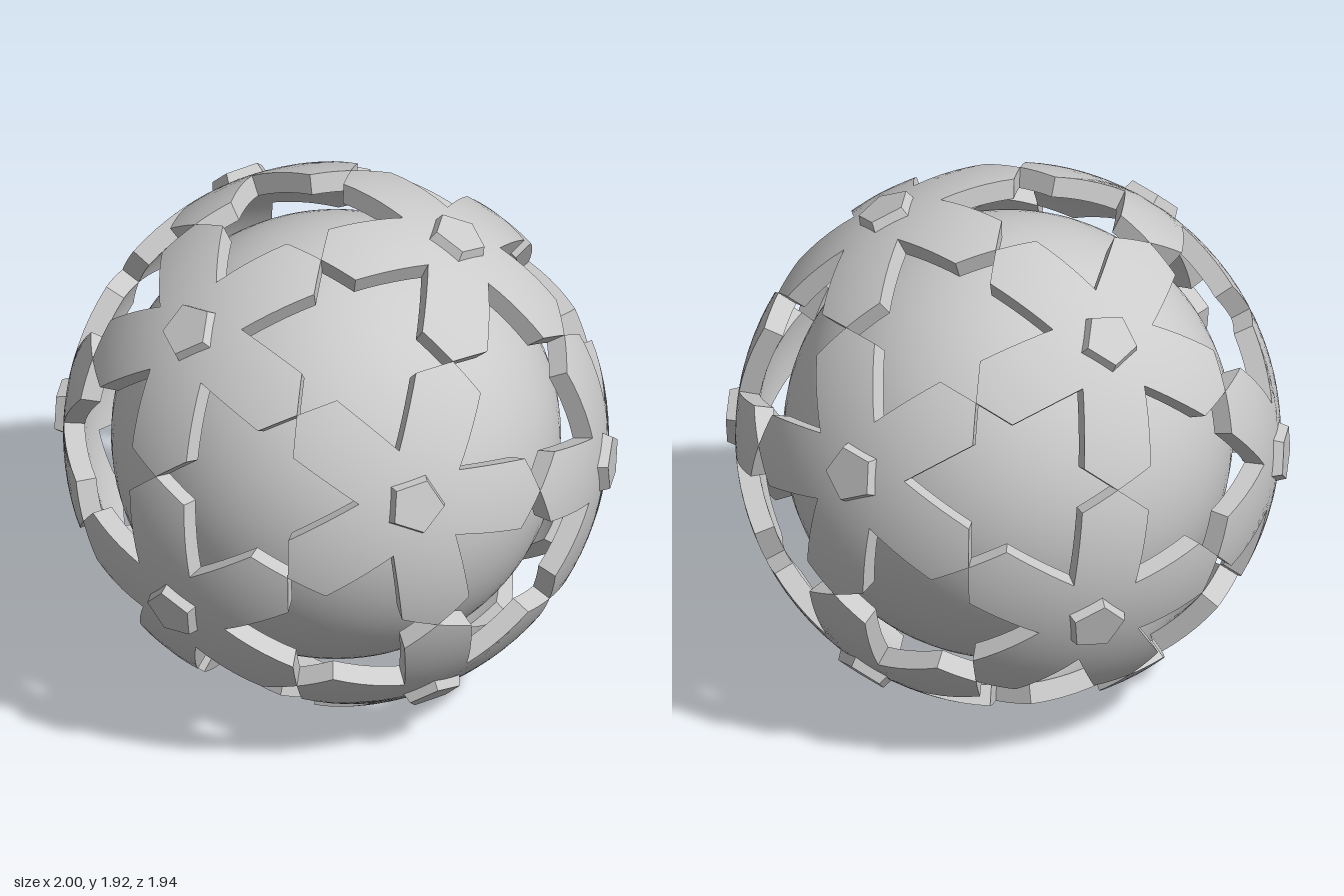
import * as THREE from 'three';

const OUTER = 0.97, INNER = 0.895, CORE = 0.8, CENTRE_Y = 0.96;
const TIP = 0.55357;   // angle from a flower centre to its petal tips
const NOTCH = 0.211;   // angle from a flower centre to the notches
const CORNER = 0.256;  // share of the edge between tips kept at each petal

// unit direction, polar angle from +z, turn measured from +y
const dir = (polar, turn) => new THREE.Vector3(
  Math.sin(polar) * Math.sin(turn), Math.sin(polar) * Math.cos(turn), Math.cos(polar));

// star-like outline of a flower on the unit sphere
function flowerOutline() {
  const corners = [];
  const step = Math.PI * 2 / 5;
  for (let k = 0; k < 5; k++) {
    const tip = dir(TIP, k * step), next = dir(TIP, (k + 1) * step);
    corners.push(tip,
      tip.clone().lerp(next, CORNER).normalize(),
      dir(NOTCH, (k + 0.5) * step),
      next.clone().lerp(tip, CORNER).normalize());
  }
  const outline = [];
  corners.forEach((a, i) => {
    const b = corners[(i + 1) % corners.length];
    for (let s = 0; s < 5; s++) outline.push(a.clone().lerp(b, s / 5).normalize());
  });
  return outline;
}

// curved plate: outer skin, inner skin and side walls
function flowerGeometry() {
  const outline = flowerOutline(), n = outline.length, rings = 8;
  const pos = [], nor = [], idx = [];
  const add = (p, radius, normal) => {
    pos.push(p.x * radius, p.y * radius, p.z * radius);
    nor.push(normal.x, normal.y, normal.z);
  };
  const axis = new THREE.Vector3(0, 0, 1);
  for (const [radius, sign] of [[OUTER, 1], [INNER, -1]]) {
    const base = pos.length / 3;
    for (let r = 0; r <= rings; r++) {
      for (const o of outline) {
        const p = axis.clone().lerp(o, r / rings).normalize();
        add(p, radius, p.clone().multiplyScalar(sign));
      }
    }
    for (let r = 0; r < rings; r++) {
      for (let i = 0; i < n; i++) {
        const j = (i + 1) % n;
        const a = base + r * n + i, b = base + r * n + j, c = a + n, d = b + n;
        // the outline runs clockwise seen from outside
        if (sign > 0) idx.push(a, d, c, a, b, d);
        else idx.push(a, c, d, a, d, b);
      }
    }
  }
  outline.forEach((p, i) => {
    const q = outline[(i + 1) % n], base = pos.length / 3;
    const normal = q.clone().cross(p).normalize().negate();
    // point the wall away from the flower centre
    if (normal.dot(axis) > 0) normal.negate();
    add(p, OUTER, normal); add(q, OUTER, normal);
    add(p, INNER, normal); add(q, INNER, normal);
    idx.push(base, base + 1, base + 2, base + 1, base + 3, base + 2);
  });
  const geo = new THREE.BufferGeometry();
  geo.setAttribute('position', new THREE.Float32BufferAttribute(pos, 3));
  geo.setAttribute('normal', new THREE.Float32BufferAttribute(nor, 3));
  geo.setIndex(idx);
  return geo;
}

export function createModel() {
  const group = new THREE.Group();
  const smooth = new THREE.MeshStandardMaterial({ color: 0xcccccc });
  const faceted = new THREE.MeshStandardMaterial({ color: 0xcccccc, flatShading: true });

  // inner ball
  const ball = new THREE.Mesh(new THREE.SphereGeometry(CORE, 64, 48), smooth);
  ball.name = 'innerBall';
  ball.position.y = CENTRE_Y;
  group.add(ball);

  const plateGeo = flowerGeometry();
  // tapered five-sided stud, one corner pointing along a petal
  const studGeo = new THREE.CylinderGeometry(0.1, 0.123, 0.07, 5);
  studGeo.rotateX(Math.PI / 2).rotateZ(Math.PI).translate(0, 0, 0.965);

  const addFlower = (normal, up) => {
    const z = normal.clone().normalize();
    const y = up.clone().addScaledVector(z, -up.dot(z)).normalize();
    const x = y.clone().cross(z);
    const flower = new THREE.Group();
    flower.name = 'flower';
    const plate = new THREE.Mesh(plateGeo, smooth);
    plate.name = 'petalPlate';
    const stud = new THREE.Mesh(studGeo, faceted);
    stud.name = 'centreStud';
    flower.add(plate, stud);
    flower.quaternion.setFromRotationMatrix(new THREE.Matrix4().makeBasis(x, y, z));
    flower.position.y = CENTRE_Y;
    group.add(flower);
  };

  // one flower at each side pole and a ring of five around it
  for (const side of [1, -1]) {
    const pole = new THREE.Vector3(side, 0, 0);
    addFlower(pole, new THREE.Vector3(0, side, 0));
    for (let k = 0; k < 5; k++) {
      const a = k * Math.PI * 2 / 5 + (side > 0 ? 0 : Math.PI);
      addFlower(new THREE.Vector3(side, 2 * Math.cos(a), 2 * Math.sin(a)), pole);
    }
  }
  return group;
}
